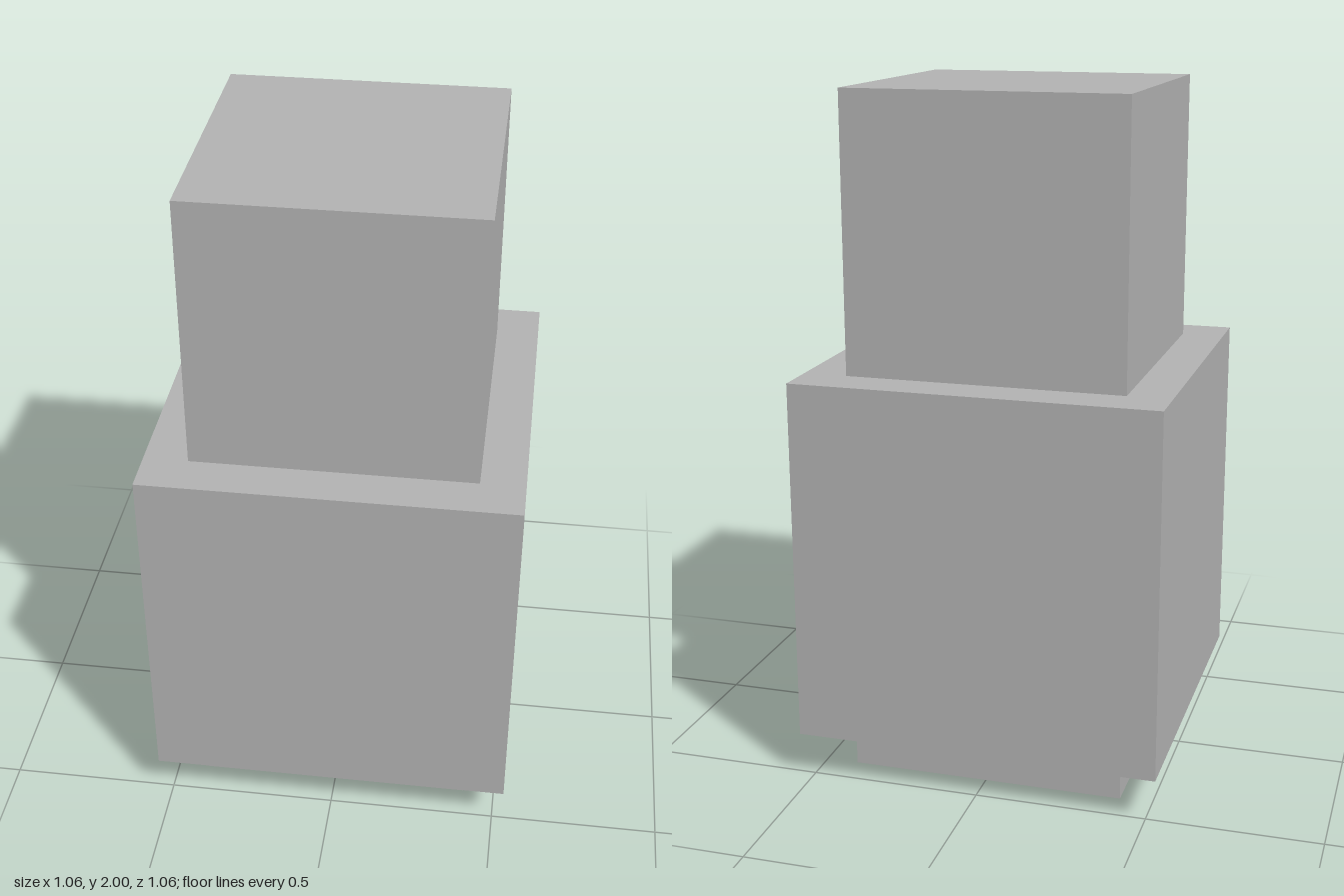
import * as THREE from 'three';

export function createModel() {
  const model = new THREE.Group();
  const grey = new THREE.MeshStandardMaterial({ color: 0xb2b2b2 });
  grey.name = 'grey';

  // Square block standing between two heights
  function block(name, width, bottom, top) {
    const mesh = new THREE.Mesh(new THREE.BoxGeometry(width, top - bottom, width), grey);
    mesh.name = name;
    mesh.position.y = (bottom + top) / 2;
    model.add(mesh);
  }

  block('base', 0.81, 0, 0.137);
  block('body', 1.064, 0.137, 1.2);
  block('head', 0.81, 1.2, 2);

  return model;
}
